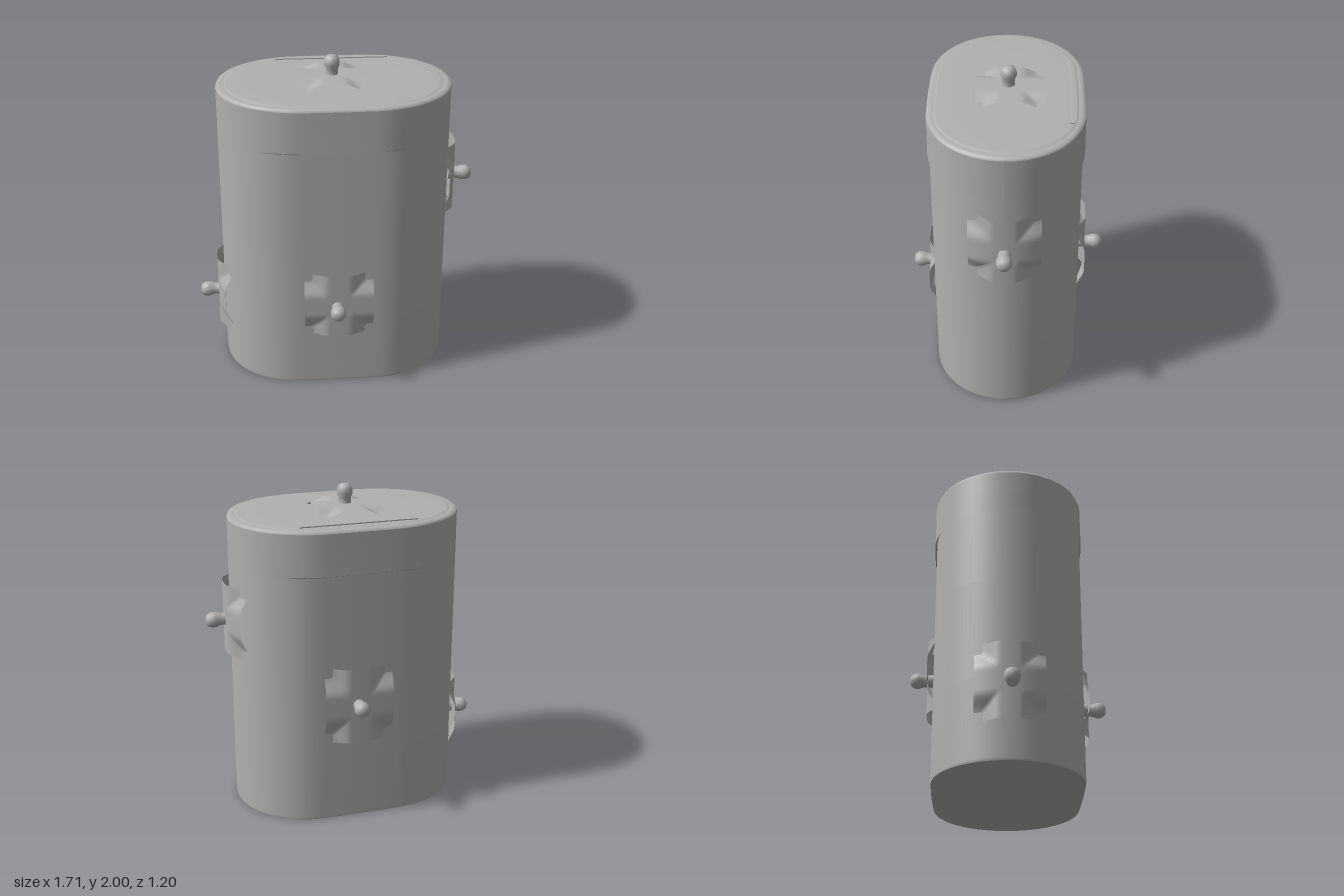
import * as THREE from 'three';

const grey = new THREE.MeshStandardMaterial({ color: 0xb0b0b0, side: THREE.DoubleSide });
grey.name = 'plain grey';

const R = 0.44, HALF = 0.26, SEG = 96;
const smooth = THREE.MathUtils.smoothstep;

// Oval footprint: half depth at x, half width at z
const bulge = x => 0.008 * (1 - smooth(Math.abs(x), 0, 0.5));
const depthAt = x => {
  const d = Math.max(0, Math.abs(x) - HALF);
  return Math.sqrt(Math.max(0, R * R - d * d)) + bulge(x);
};
const widthAt = z => HALF + Math.sqrt(Math.max(0, R * R - z * z));

// Point on the footprint; flap pushes the middle of the front and back outwards
function outline(i, scale, flap) {
  const a = (i / SEG) * Math.PI * 2;
  const c = Math.cos(a), s = Math.sin(a);
  // spread points evenly over the straight sides and the round ends
  const w = Math.max(-1, Math.min(1, c * 1.6));
  const x = HALF * w + R * c;
  const k = Math.max(0, Math.abs(x) - HALF);
  const z = Math.sign(s) * (Math.sqrt(Math.max(0, R * R - k * k)) + bulge(x));
  const out = Math.sign(z) * flap * (1 - smooth(Math.abs(x), 0.2, 0.45));
  return [x * scale, z * scale + out];
}

// Grid surface from a function of (column, row)
function grid(name, cols, rows, point) {
  const pos = [], idx = [];
  for (let j = 0; j <= rows; j++)
    for (let i = 0; i <= cols; i++) pos.push(...point(i, j));
  for (let j = 0; j < rows; j++)
    for (let i = 0; i < cols; i++) {
      const a = j * (cols + 1) + i, b = a + 1, c = a + cols + 1, d = c + 1;
      idx.push(a, b, d, a, d, c);
    }
  const geo = new THREE.BufferGeometry();
  geo.setAttribute('position', new THREE.Float32BufferAttribute(pos, 3));
  geo.setIndex(idx);
  geo.computeVertexNormals();
  const mesh = new THREE.Mesh(geo, grey);
  mesh.name = name;
  return mesh;
}

// Oval rings, each [height, scale, flap]
function loft(name, rings) {
  return grid(name, SEG, rings.length - 1, (i, j) => {
    const [y, scale, flap = 0] = rings[j];
    const [x, z] = outline(SEG - i, scale, flap);
    return [x, y, z];
  });
}

// Raised cross-shaped mount, open at the ends of its four arms
function mount(name, halfU, halfV, lift, place) {
  const N = 24;
  return grid(name, N, N, (i, j) => {
    const a = (i / N) * 2 - 1, b = (j / N) * 2 - 1;
    const m = Math.min(Math.abs(a), Math.abs(b));
    const h = lift * (1 - smooth(m, 0.3, 0.8)) - 0.006 * smooth(m, 0.7, 0.9);
    return place(a * halfU, b * halfV, h);
  });
}

// Knob with a narrow neck and a rounded head, pointing along +y
const knobGeo = new THREE.LatheGeometry(
  [[0.042, -0.02], [0.036, 0.02], [0.038, 0.045], [0.047, 0.07], [0.047, 0.095], [0.036, 0.118], [0.018, 0.126], [0, 0.128]]
    .map(p => new THREE.Vector2(...p)), 14);

function knob(name, position, direction) {
  const mesh = new THREE.Mesh(knobGeo, grey);
  mesh.name = name;
  mesh.position.set(...position);
  mesh.quaternion.setFromUnitVectors(new THREE.Vector3(0, 1, 0), new THREE.Vector3(...direction));
  return mesh;
}

export function createModel() {
  const model = new THREE.Group();
  model.name = 'ovalCanister';

  // Body walls, with a shallow lip across the front and back near the top
  model.add(
    loft('base', [[0.005, 0.001], [0.005, 0.995]]),
    loft('lowerWall', [[0.005, 0.995], [0.02, 1], [0.5, 1], [1.1, 1], [1.568, 1]]),
    loft('lip', [[1.568, 1], [1.574, 1, 0.014]]),
    loft('upperWall', [[1.574, 1, 0.014], [1.7, 1, 0.012], [1.825, 1, 0.012]]),
    loft('rim', [[1.825, 1, 0.012], [1.838, 0.993, 0.01], [1.842, 0.96, 0.004], [1.842, 0.93]]),
    loft('lid', [[1.842, 0.93], [1.85, 0.9], [1.85, 0.6], [1.85, 0.3], [1.85, 0.001]])
  );

  // Thin hinge strip along the back of the lid
  const strip = new THREE.Mesh(new THREE.BoxGeometry(0.7, 0.009, 0.022), grey);
  strip.name = 'lidStrip';
  strip.position.set(0.01, 1.852, -0.37);
  model.add(strip);

  // Mounts wrapped over each side
  model.add(
    mount('topMount', 0.2, 0.2, 0.032, (u, v, h) => [u - 0.01, 1.851 + h, -v - 0.02]),
    mount('frontMount', 0.21, 0.21, 0.04, (u, v, h) => [u, 0.57 + v, depthAt(u) + h]),
    mount('backMount', 0.21, 0.24, 0.042, (u, v, h) => [0.03 - u, 0.76 + v, -depthAt(0.03 - u) - h]),
    mount('leftMount', 0.21, 0.22, 0.042, (u, v, h) => [widthAt(u) + h, 1.23 + v, -u]),
    mount('rightMount', 0.2, 0.23, 0.042, (u, v, h) => [-widthAt(u) - h, 0.46 + v, u])
  );

  // Knobs
  model.add(
    knob('topKnob', [-0.01, 1.872, -0.01], [0, 1, 0]),
    knob('frontKnob', [-0.01, 0.565, 0.473], [0, 0, 1]),
    knob('backKnob', [0.04, 0.77, -0.473], [0, 0, -1]),
    knob('leftKnob', [0.728, 1.215, 0], [1, 0, 0]),
    knob('rightKnob', [-0.728, 0.445, 0.01], [-1, 0, 0])
  );
  return model;
}
